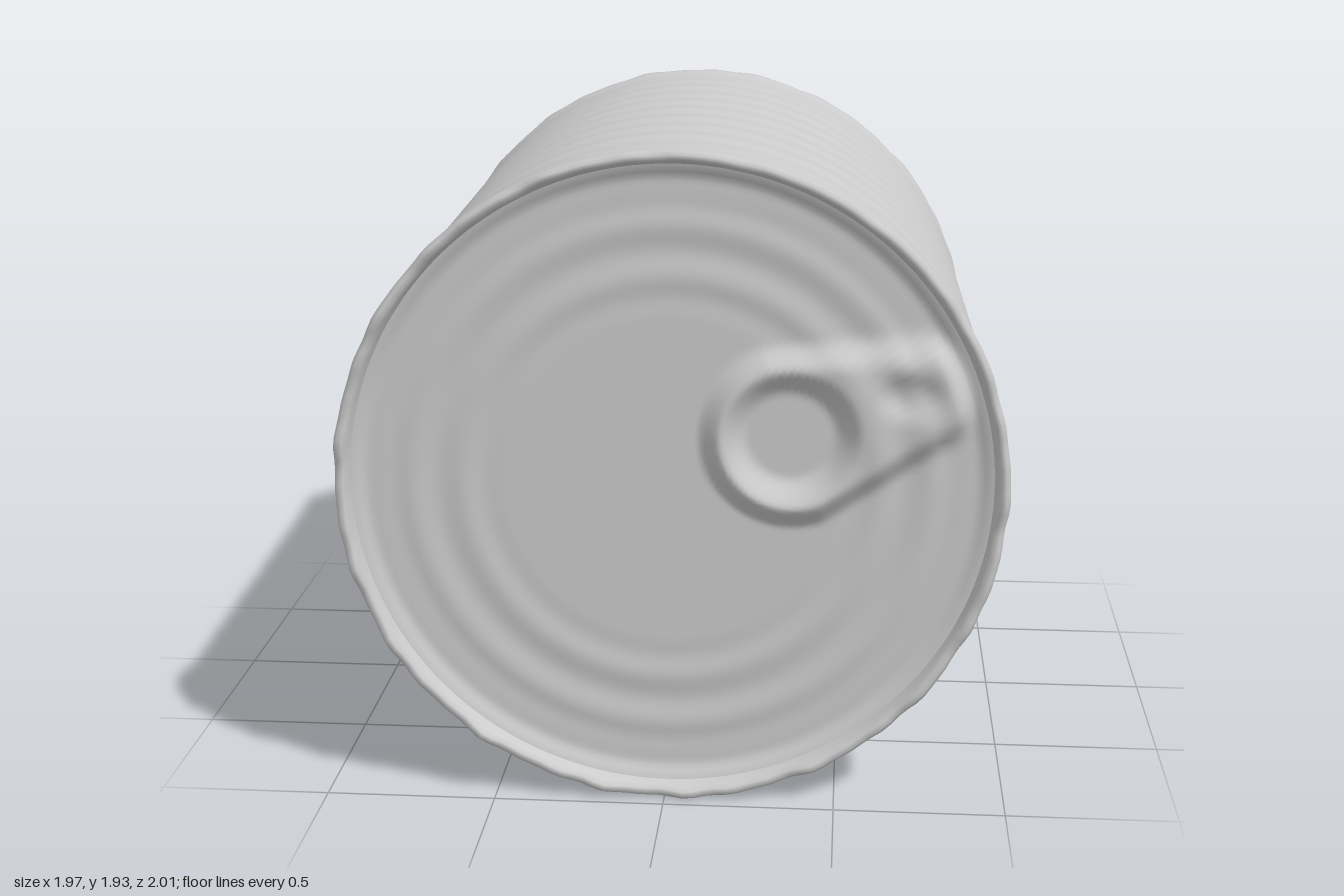
import * as THREE from 'three';
import { mergeVertices } from 'three/addons/utils/BufferGeometryUtils.js';

const SEGMENTS = 180;
const smooth = THREE.MathUtils.smoothstep;

// Uneven, hand-worn edge as a function of angle
const wobble = (a, s) =>
  0.4 * Math.sin(17 * a + s) + 0.35 * Math.sin(29 * a + 2.3 * s) + 0.3 * Math.sin(47 * a + 4.1 * s);

// Lathe around z, then move every vertex by a rule and smooth it
function turned(name, profile, rule) {
  const geo = new THREE.LatheGeometry(profile.map(([r, z]) => new THREE.Vector2(r, z)), SEGMENTS);
  geo.rotateX(Math.PI / 2);
  geo.deleteAttribute('uv');
  geo.deleteAttribute('normal');
  const p = geo.attributes.position;
  const v = new THREE.Vector3();
  for (let i = 0; i < p.count; i++) {
    v.fromBufferAttribute(p, i);
    rule(v);
    p.setXYZ(i, v.x, v.y, v.z);
  }
  const merged = mergeVertices(geo, 1e-5);
  merged.computeVertexNormals();
  const mesh = new THREE.Mesh(merged,
    new THREE.MeshStandardMaterial({ color: 0xcccccc, side: THREE.DoubleSide }));
  mesh.name = name;
  return mesh;
}

// Height of the softly raised pull tab at a point on the front lid
function tabHeight(x, y) {
  const ax = 0.35, ay = 0.14, dx = 0.37, dy = 0.13;
  const t = THREE.MathUtils.clamp(((x - ax) * dx + (y - ay) * dy) / (dx * dx + dy * dy), 0, 1);
  const d = Math.hypot(x - ax - t * dx, y - ay - t * dy);
  const radius = 0.23 - 0.1 * t;
  let h = 0.05 * (1 - smooth(d, radius - 0.03, radius + 0.05));
  // Finger hole and the smaller hollow by the rivet
  h -= 0.055 * (1 - smooth(Math.hypot(x - 0.34, y - 0.14), 0.12, 0.21));
  h -= 0.025 * (1 - smooth(Math.hypot((x - 0.68) / 1.4, y - 0.27), 0.02, 0.08));
  return h;
}

export function createModel() {
  const model = new THREE.Group();
  model.name = 'tinCan';
  const can = new THREE.Group();
  can.name = 'can';
  model.add(can);

  // Wall with faint ribs and a rolled rim at each end
  const rim = [[0.955, 0.905], [0.962, 0.935], [0.963, 0.96], [0.952, 0.973],
    [0.938, 0.97], [0.928, 0.955], [0.922, 0.925], [0.915, 0.9]];
  const wall = [];
  for (let i = 0; i <= 100; i++) {
    const z = -0.88 + 1.76 * i / 100;
    const fade = 1 - smooth(Math.abs(z), 0.65, 0.8);
    wall.push([0.946 + 0.003 * fade * Math.cos(z * 34), z]);
  }
  const backRim = rim.map(([r, z]) => [r - 0.008, -z]).reverse();
  can.add(turned('wallAndRims', [...backRim, ...wall, ...rim], (v) => {
    const k = smooth(Math.abs(v.z), 0.91, 0.97);
    const a = Math.atan2(v.y, v.x);
    const w = wobble(a, v.z > 0 ? 1 : 3) * k;
    const r = 1 + 0.004 * w;
    v.x *= r;
    v.y *= r;
    v.z += 0.01 * w * Math.sign(v.z);
  }));

  // Recessed lids with shallow concentric rings
  const lid = [];
  for (let i = 0; i <= 70; i++) {
    const r = 0.925 * i / 70;
    const ring = 0.004 * Math.cos(r * 42) * smooth(r, 0.45, 0.6) * (1 - smooth(r, 0.75, 0.85));
    lid.push([r, 0.905 + ring + 0.02 * smooth(r, 0.875, 0.925)]);
  }
  can.add(turned('backLid', lid.map(([r, z]) => [r, -z]), () => {}));
  can.add(turned('frontLidWithPullTab', [...lid].reverse(), (v) => {
    const inside = 1 - smooth(Math.hypot(v.x, v.y), 0.84, 0.91);
    v.z += tabHeight(v.x, v.y) * inside;
  }));

  // The can lies on its side, very slightly askew
  can.rotation.set(0.006, 0.025, 0);
  can.position.set(-0.005, 0.974, 0);
  return model;
}
